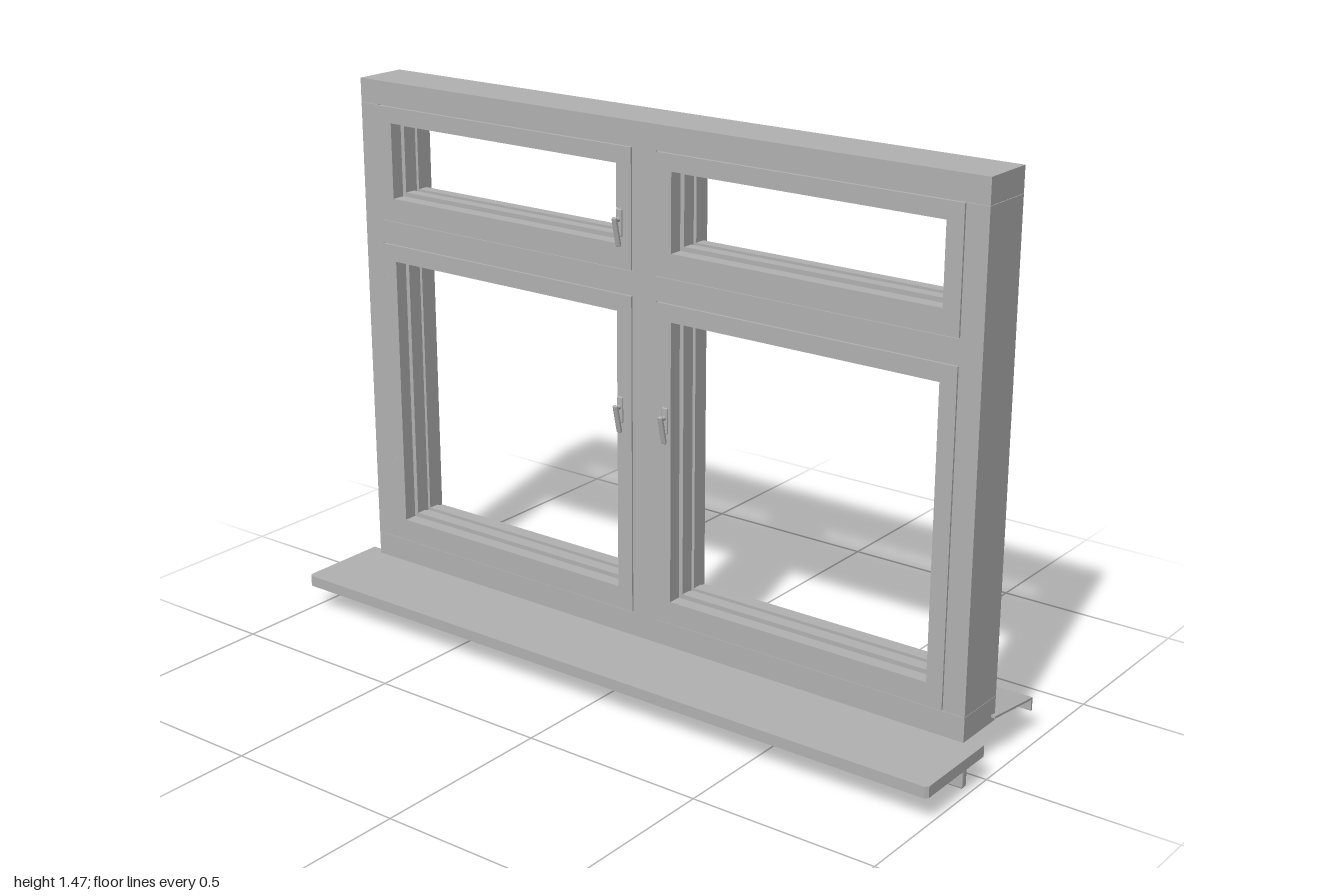
import * as THREE from 'three';
import { RoundedBoxGeometry } from 'three/addons/geometries/RoundedBoxGeometry.js';

const FRONT = 0.04, BACK = -0.11;

export function createModel() {
  const root = new THREE.Group();
  root.name = 'window';
  const grey = new THREE.MeshStandardMaterial({ color: 0xb2b2b2 });
  grey.name = 'painted grey';

  const add = (name, geometry, parent = root) => {
    const mesh = new THREE.Mesh(geometry, grey);
    mesh.name = name;
    parent.add(mesh);
    return mesh;
  };
  // Box given by its limits on each axis
  const box = (name, x0, x1, y0, y1, z0, z1, parent) => {
    const mesh = add(name, new THREE.BoxGeometry(x1 - x0, y1 - y0, z1 - z0), parent);
    mesh.position.set((x0 + x1) / 2, (y0 + y1) / 2, (z0 + z1) / 2);
    return mesh;
  };
  const rectangle = (target, x0, x1, y0, y1) => {
    target.moveTo(x0, y0);
    target.lineTo(x1, y0);
    target.lineTo(x1, y1);
    target.lineTo(x0, y1);
    target.closePath();
    return target;
  };
  // Rectangular ring with an opening, between two depths
  const ring = (name, outer, inner, z0, z1, parent) => {
    const shape = rectangle(new THREE.Shape(), ...outer);
    shape.holes.push(rectangle(new THREE.Path(), ...inner));
    const geometry = new THREE.ExtrudeGeometry(shape, { depth: z1 - z0, bevelEnabled: false });
    geometry.translate(0, 0, z0);
    add(name, geometry, parent);
  };

  // Fixed frame
  box('headRail', -0.955, 0.955, 1.405, 1.47, BACK, FRONT);
  box('bottomRail', -0.955, 0.955, 0.1, 0.165, BACK, FRONT);
  box('mullion', -0.037, 0.037, 0.165, 1.405, BACK, FRONT);
  for (const s of [-1, 1]) {
    const side = s < 0 ? 'right' : 'left';
    const stile = box(side + 'Stile', -0.03, 0.03, 0.166, 1.404, BACK, FRONT);
    stile.position.x = s * 0.925;
    const transom = box(side + 'Transom', -0.429, 0.429, 1.027, 1.09, BACK, FRONT);
    transom.position.x = s * 0.466;
  }

  // Sashes: stepped layers of [back z, front z, inset of the opening], with a glazing slot
  const layers = [
    [0.005, FRONT + 0.002, 0],
    [-0.025, 0.005, 0.012],
    [-0.045, -0.025, 0.004],
    [-0.075, -0.045, 0.012],
    [BACK + 0.003, -0.075, 0],
  ];
  const sash = (name, s, y0, y1, openY0, openY1) => {
    const group = new THREE.Group();
    group.name = name;
    root.add(group);
    const span = (a, b) => (s > 0 ? [a, b] : [-b, -a]);
    const outer = [...span(0.039, 0.893), y0 + 0.002, y1 - 0.002];
    const [x0, x1] = span(0.085, 0.848);
    layers.forEach(([z0, z1, inset], i) => {
      const inner = [x0 + inset, x1 - inset, openY0 + inset, openY1 - inset];
      ring('sashLayer' + (i + 1), outer, inner, z0, z1, group);
    });
  };
  for (const s of [-1, 1]) {
    const side = s < 0 ? 'right' : 'left';
    sash(side + 'UpperSash', s, 1.09, 1.405, 1.155, 1.36);
    sash(side + 'LowerSash', s, 0.165, 1.027, 0.228, 0.98);
  }

  // Handles: back plate, neck and tilted lever
  const handle = (name, x, y) => {
    const group = new THREE.Group();
    group.name = name;
    group.position.set(x, y, FRONT);
    root.add(group);
    const plate = add('handlePlate', new RoundedBoxGeometry(0.018, 0.07, 0.008, 2, 0.003), group);
    plate.position.set(0, 0.06, 0.003);
    const neck = add('handleNeck', new THREE.CylinderGeometry(0.006, 0.006, 0.02, 16), group);
    neck.rotation.x = Math.PI / 2;
    neck.position.set(0, 0.068, 0.012);
    const lever = add('handleLever', new RoundedBoxGeometry(0.014, 0.078, 0.009, 2, 0.003), group);
    lever.rotation.x = 0.22;
    lever.position.set(0, 0.038, 0.015);
  };
  handle('rightUpperHandle', -0.075, 1.15);
  handle('rightLowerHandle', -0.075, 0.66);
  handle('leftLowerHandle', 0.068, 0.66);

  // Inner sill board with clipped front corners
  const board = new THREE.Shape();
  [[-1, -0.02], [1, -0.02], [1, -0.272], [0.992, -0.28], [-0.992, -0.28], [-1, -0.272]]
    .reverse()
    .forEach(([x, y], i) => (i ? board.lineTo(x, y) : board.moveTo(x, y)));
  const boardGeometry = new THREE.ExtrudeGeometry(board, { depth: 0.03, bevelEnabled: false });
  boardGeometry.rotateX(-Math.PI / 2);
  add('innerSill', boardGeometry).position.y = 0.07;

  // Apron strip beneath the inner sill
  const apron = add('apron', new RoundedBoxGeometry(1.956, 0.07, 0.022, 2, 0.005));
  apron.position.set(0, 0.035, 0.067);

  // Outer sheet sill: sloped plate with a turned-down drip edge
  const profile = new THREE.Shape();
  [[0.09, 0.121], [0.09, 0.115], [0.274, 0.092], [0.274, 0.062], [0.28, 0.062], [0.28, 0.097]]
    .forEach(([x, y], i) => (i ? profile.lineTo(x, y) : profile.moveTo(x, y)));
  const sheet = new THREE.ExtrudeGeometry(profile, { depth: 1.934, bevelEnabled: false });
  sheet.rotateY(Math.PI / 2);
  add('outerSill', sheet).position.x = -0.967;

  return root;
}
